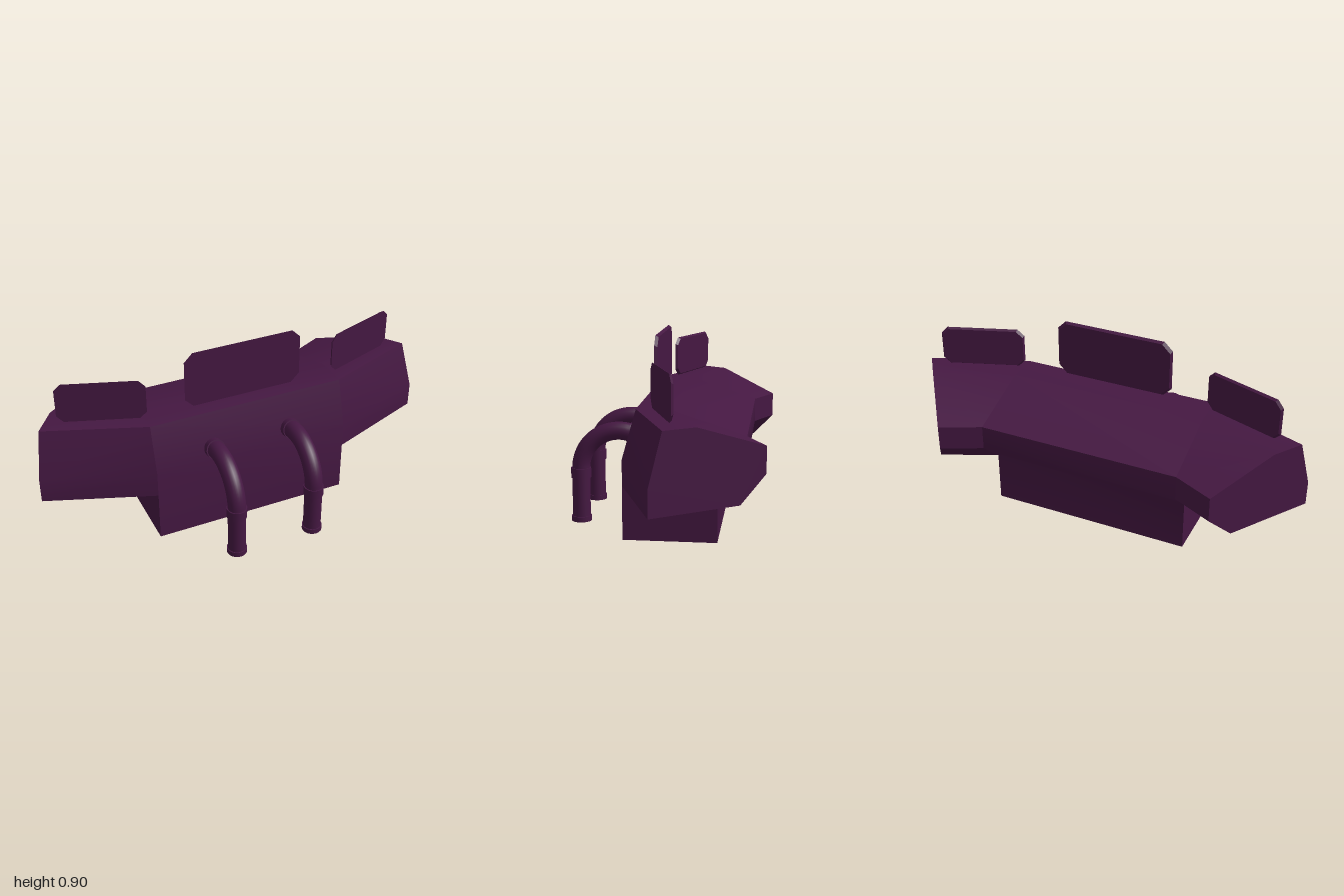
import * as THREE from 'three';
import { toCreasedNormals } from 'three/addons/utils/BufferGeometryUtils.js';

const material = new THREE.MeshStandardMaterial({ color: 0x451842 });
const V = (x, y, z) => new THREE.Vector3(x, y, z);

function mesh(name, geometry) {
  const m = new THREE.Mesh(geometry, material);
  m.name = name;
  return m;
}

// Closed solid between two matching cross-sections (caps fan from the first point)
function loft(a, b, crease) {
  const tris = [];
  const n = a.length;
  for (let i = 0; i < n; i++) {
    const j = (i + 1) % n;
    tris.push([a[i], a[j], b[j]], [a[i], b[j], b[i]]);
    if (i > 0 && i < n - 1) tris.push([a[0], a[j], a[i]], [b[0], b[i], b[j]]);
  }
  // a negative signed volume means the faces point inwards
  const volume = tris.reduce((s, [p, q, r]) => s + p.dot(q.clone().cross(r)), 0);
  const points = tris.flatMap(([p, q, r]) => (volume < 0 ? [p, r, q] : [p, q, r]));
  return toCreasedNormals(new THREE.BufferGeometry().setFromPoints(points), crease);
}

// Desk profile as [depth behind the front face, height]
const FRONT = 0.175;
const upper = [[0.428, 0.25], [0.555, 0.37], [0.555, 0.49], [0.22, 0.6], [0.065, 0.6], [0, 0.37]];
const centreProfile = [...upper, [0, 0], [0.428, 0]];
const wingProfile = [...upper, [0, 0.25]];

const straightSection = (profile, x) => profile.map(([d, y]) => V(x, y, FRONT - d));
// The wing ends are cut on a slanted plane
const endSection = (s) => wingProfile.map(([d, y]) => V(s * (1 - 0.575 * d), y, -0.012 - 0.825 * d));

// Thin panel with clipped corners and a bevelled rear edge
function screen(name, w, h, chamfer, depth) {
  const outline = (inset, z) => {
    const x = w / 2 - inset, y = h / 2 - inset, c = chamfer;
    return [[x, y - c], [x - c, y], [c - x, y], [-x, y - c], [-x, c - y], [c - x, -y], [x - c, -y], [x, c - y]]
      .map(([px, py]) => V(px, py, z));
  };
  return mesh(name, loft(outline(0, depth / 2), outline(depth * 0.6, -depth / 2), 0.1));
}

// Vertical pipe that bends over into the desk front
function pipe(x) {
  const g = new THREE.Group();
  g.name = 'pipe';
  const path = new THREE.CurvePath();
  const arc = [];
  for (let i = 0; i <= 14; i++) {
    const t = (i / 14) * THREE.MathUtils.degToRad(105);
    arc.push(V(0, 0.255 + 0.187 * Math.sin(t), 0.233 + 0.187 * Math.cos(t)));
  }
  arc.push(V(0, 0.425, 0.13));
  path.add(new THREE.CatmullRomCurve3(arc));
  g.add(mesh('pipeBend', new THREE.TubeGeometry(path, 24, 0.043, 20)));

  const cylinder = (name, r, length, y, z) => {
    const m = mesh(name, new THREE.CylinderGeometry(r, r, length, 20));
    m.position.set(0, y, z);
    g.add(m);
    return m;
  };
  cylinder('pipeUpright', 0.043, 0.255, 0.1275, 0.42);
  cylinder('pipeFoot', 0.048, 0.025, 0.0125, 0.42);
  cylinder('pipeCollar', 0.048, 0.048, 0.236, 0.42);
  cylinder('pipeFlange', 0.048, 0.06, 0.43, 0.158).rotation.x = THREE.MathUtils.degToRad(75);
  g.position.x = x;
  return g;
}

export function createModel() {
  const model = new THREE.Group();
  model.name = 'controlConsole';

  // Desk: centre block with pedestal, plus two swept wings
  model.add(mesh('deskCentre', loft(straightSection(centreProfile, -0.492), straightSection(centreProfile, 0.492), 0.9)));
  for (const s of [-1, 1]) {
    const side = s > 0 ? 'left' : 'right';
    model.add(mesh(side + 'Wing', loft(straightSection(wingProfile, s * 0.492), endSection(s), 0.4)));

    // Side screens follow the wing angle
    const sideScreen = screen(side + 'Screen', 0.412, 0.2, 0.032, 0.012);
    sideScreen.position.set(s * 0.673, 0.709, -0.028);
    sideScreen.rotation.y = s * 0.333;
    model.add(sideScreen, pipe(s * 0.2));
  }

  const centreScreen = screen('centreScreen', 0.592, 0.283, 0.042, 0.014);
  centreScreen.position.set(0, 0.758, 0.047);
  model.add(centreScreen);
  return model;
}
